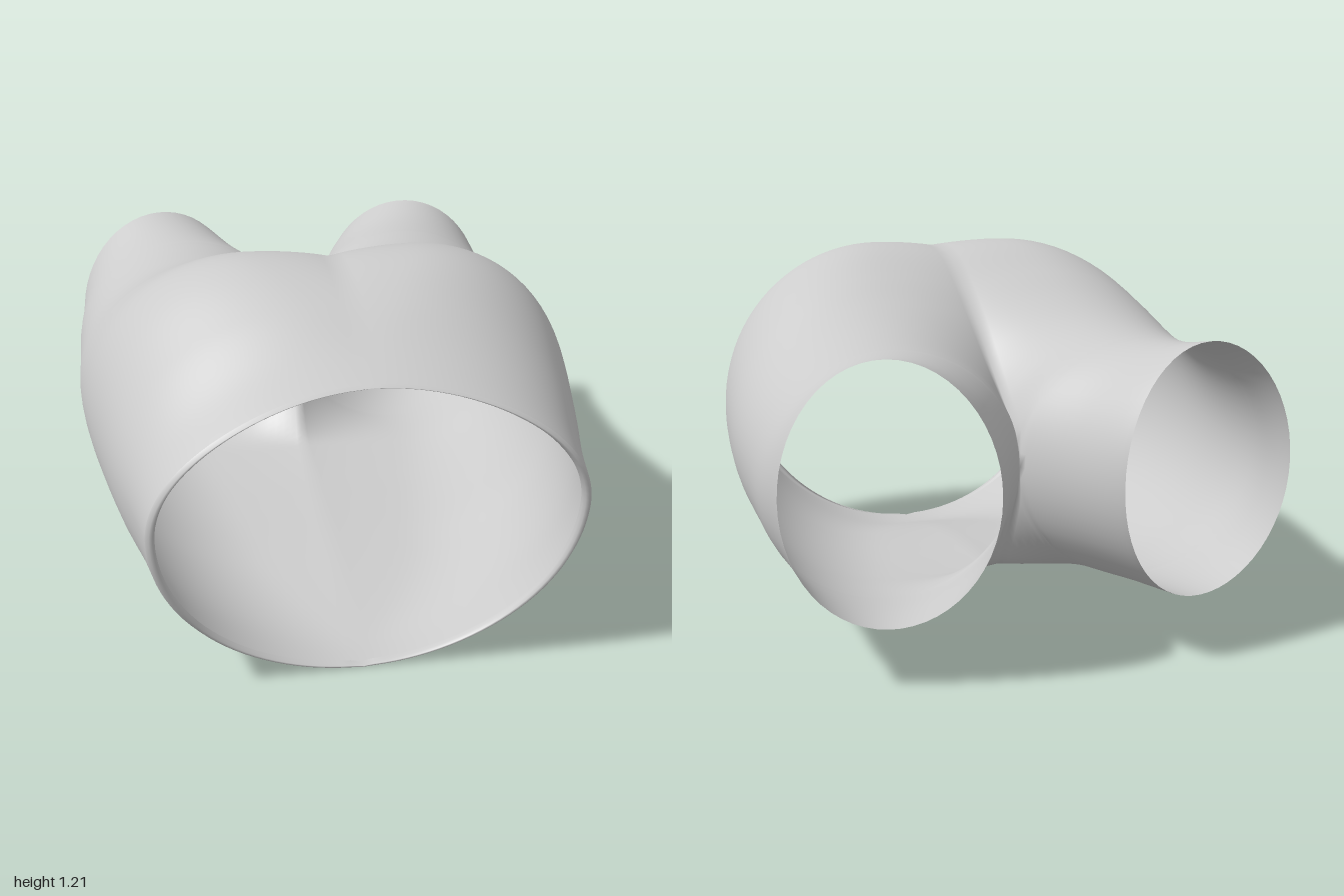
import * as THREE from 'three';
import { mergeVertices } from 'three/addons/utils/BufferGeometryUtils.js';

// Section of one half: z, centre x, radius x, top y, widest y, bottom y
const SECTIONS = [
  [0.96, 0.00, 0.67, 1.03, 0.60, 0.00],
  [0.80, 0.03, 0.67, 1.075, 0.605, 0.01],
  [0.60, 0.12, 0.63, 1.155, 0.62, 0.045],
  [0.35, 0.24, 0.56, 1.21, 0.645, 0.095],
  [0.20, 0.27, 0.553, 1.20, 0.65, 0.115],
  [0.00, 0.31, 0.53, 1.125, 0.63, 0.13],
  [-0.15, 0.335, 0.51, 1.06, 0.61, 0.14],
  [-0.30, 0.37, 0.473, 1.01, 0.595, 0.155],
  [-0.45, 0.40, 0.441, 0.985, 0.585, 0.175],
  [-0.60, 0.42, 0.42, 0.98, 0.58, 0.185],
  [-0.75, 0.463, 0.365, 0.985, 0.59, 0.195],
  [-0.90, 0.505, 0.315, 1.01, 0.605, 0.20],
];
const COLS = 56;
const { lerp, smoothstep, clamp } = THREE.MathUtils;
const profile = new THREE.CubicInterpolant(
  SECTIONS.map((s) => -s[0]), SECTIONS.flatMap((s) => s.slice(1)), 5);

// Point on the half tube; t runs -1..1 and the arc is cut where it meets x = 0
function surfacePoint(z, inset, t) {
  const [cx, rx0, top, mid, bottom] = profile.evaluate(-z);
  const rx = rx0 - inset;
  const cut = Math.acos(clamp(-cx / rx, -1, 1));
  const angle = t * cut;
  const sin = Math.sin(angle);
  let x = cx + rx * Math.cos(angle);
  if (Math.abs(t) === 1 && x < 0.002) x = 0;

  // Height, with the cloth bridging the centre groove above and below
  const ry = (sin > 0 ? top - mid : mid - bottom) - inset * 0.3;
  let y = mid + ry * sin;
  if (x < cx) {
    if (sin > 0) y = lerp(top, y, lerp(0.4, 1, smoothstep(-z, -0.2, 0.4)));
    else y = lerp(bottom, y, lerp(0.1, 1, smoothstep(-z, 0.38, 0.6)));
  }

  // Slanted waist edge and slanted leg openings
  const waist = smoothstep(z, 0.45, 0.96);
  const cuff = smoothstep(-z, 0.6, 0.9);
  const rise = Math.sin(Math.min(y, 1) * Math.PI / 2);
  const dip = Math.cos(Math.min(x / 0.65, 1) * Math.PI / 2) ** 2;
  const waistShift = -0.11 + 0.16 * rise - 0.06 * y * dip;
  const cuffShift = 0.045 - 0.145 * Math.pow((1 - Math.cos(angle)) / 2, 2);
  return [x, y, z + waist * waistShift + cuff * cuffShift];
}

// Loft rows of [z, inset] into both mirrored halves, welded along the centre
function loft(rows) {
  const positions = [];
  const index = [];
  for (const side of [1, -1]) {
    const base = positions.length / 3;
    rows.forEach(([z, inset]) => {
      for (let j = 0; j <= COLS; j++) {
        const [x, y, pz] = surfacePoint(z, inset, (2 * j) / COLS - 1);
        positions.push(side * x, y, pz);
      }
    });
    for (let i = 0; i < rows.length - 1; i++) {
      for (let j = 0; j < COLS; j++) {
        const a = base + i * (COLS + 1) + j;
        const b = a + 1;
        const c = a + COLS + 1;
        const d = c + 1;
        if (side > 0) index.push(a, c, b, b, c, d);
        else index.push(a, b, c, b, d, c);
      }
    }
  }
  const geometry = new THREE.BufferGeometry();
  geometry.setAttribute('position', new THREE.Float32BufferAttribute(positions, 3));
  geometry.setIndex(index);
  const welded = mergeVertices(geometry, 1e-4);
  welded.computeVertexNormals();
  return welded;
}

export function createModel() {
  const group = new THREE.Group();
  group.name = 'shorts';
  const material = new THREE.MeshStandardMaterial({ color: 0xcccccc, side: THREE.DoubleSide });

  // Hips and both legs in one continuous skin
  const bodyRows = [];
  for (let k = 0; k <= 92; k++) bodyRows.push([0.94 - 0.02 * k, 0]);
  const body = new THREE.Mesh(loft(bodyRows), material);
  body.name = 'shortsBody';

  // Waist edge folded inward
  const hemRows = [[0.925, 0.03], [0.94, 0.028], [0.952, 0.02], [0.955, 0.008], [0.94, 0]];
  const hem = new THREE.Mesh(loft(hemRows), material);
  hem.name = 'waistHem';

  group.add(body, hem);
  return group;
}
